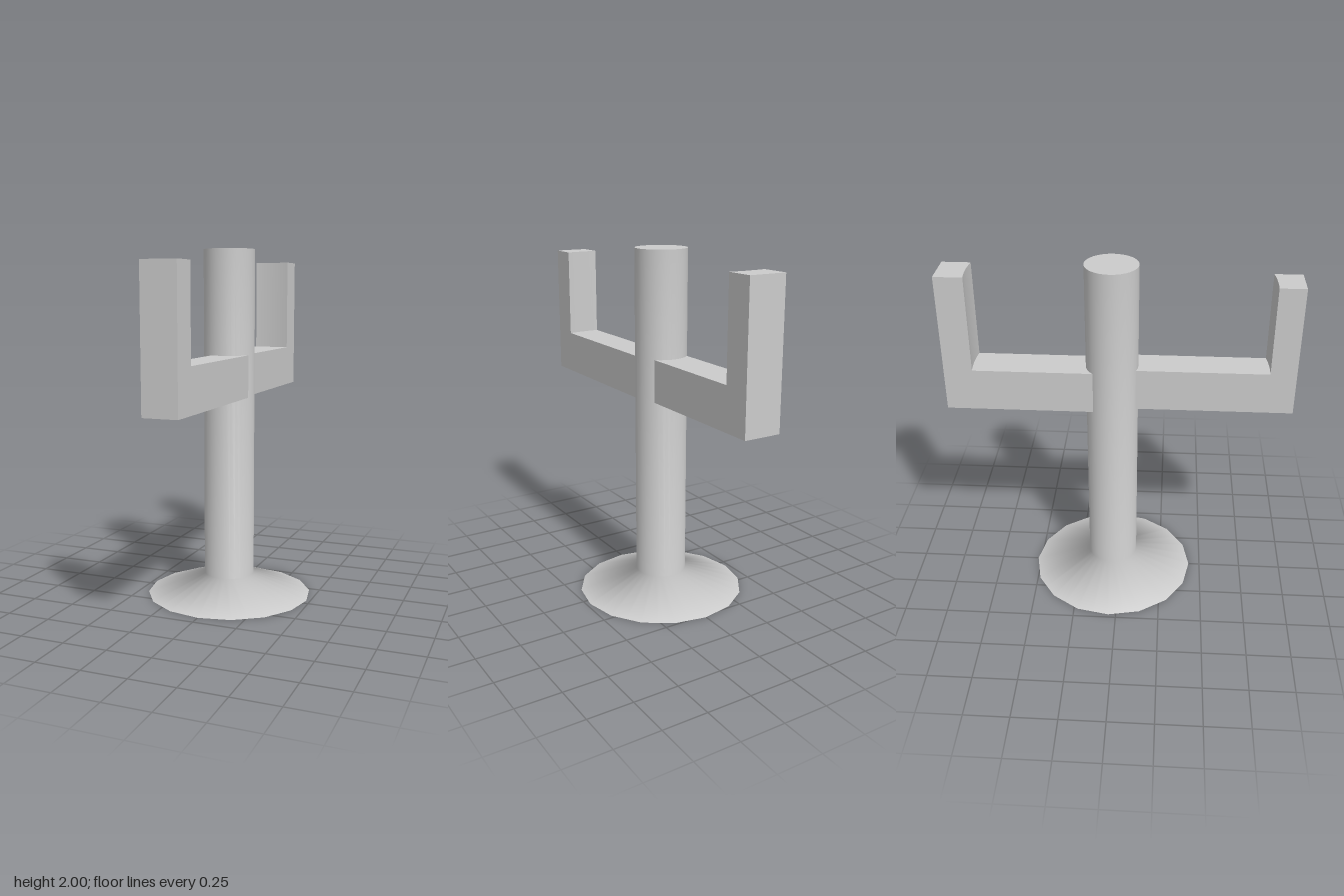
import * as THREE from 'three';

const material = new THREE.MeshStandardMaterial({ color: 0xcccccc });
const RADIUS = 0.145, BASE_RADIUS = 0.478, HEIGHT = 2, FLARE = 0.12;
const SIDES = 32;

function addMesh(parent, name, geometry) {
  const mesh = new THREE.Mesh(geometry, material);
  mesh.name = name;
  parent.add(mesh);
  return mesh;
}

// Smooth trunk flaring into a foot whose rim has half as many sides.
function trunkGeometry() {
  const profile = [[BASE_RADIUS, 0], [RADIUS, FLARE], [RADIUS, HEIGHT]];
  const geo = new THREE.LatheGeometry(profile.map(p => new THREE.Vector2(...p)), SIDES);
  const pos = geo.attributes.position;
  const chord = Math.cos(Math.PI * 2 / SIDES);
  for (let i = 1; i <= SIDES; i += 2) {
    const k = i * profile.length; // rim vertex of every second column
    pos.setX(k, pos.getX(k) * chord);
    pos.setZ(k, pos.getZ(k) * chord);
  }
  return geo;
}

// An arm runs outward from the trunk axis, then turns up. The inner face of
// its upright is an arc around the trunk.
function makeArm(name, { x0, x1, outer, inner, top }) {
  const arm = new THREE.Group();
  arm.name = name;
  const low = 1.17, high = 1.41, start = 0.05;

  const bar = new THREE.BoxGeometry(x1 - x0, high - low, outer - start);
  bar.translate((x0 + x1) / 2, (low + high) / 2, -(outer + start) / 2);
  addMesh(arm, name + 'Bar', bar);

  const shape = new THREE.Shape();
  shape.moveTo(x1, outer);
  shape.lineTo(x0, outer);
  shape.absarc(0, 0, inner, Math.acos(x0 / inner), Math.acos(x1 / inner), true);
  shape.closePath();
  const upright = new THREE.ExtrudeGeometry(shape, {
    depth: top - high, bevelEnabled: false, curveSegments: 6,
  });
  upright.rotateX(-Math.PI / 2);
  upright.translate(0, high, 0);
  addMesh(arm, name + 'Upright', upright);
  return arm;
}

export function createModel() {
  const model = new THREE.Group();
  model.name = 'twoArmedPost';
  model.position.z = -0.045;

  // Trunk with its flat ends
  addMesh(model, 'trunk', trunkGeometry());
  const cap = addMesh(model, 'trunkTop', new THREE.CircleGeometry(RADIUS, SIDES));
  cap.rotation.x = -Math.PI / 2;
  cap.position.y = HEIGHT;
  const underside = addMesh(model, 'footUnderside', new THREE.CircleGeometry(BASE_RADIUS, SIDES / 2));
  underside.rotation.x = Math.PI / 2;

  // Arms
  model.add(makeArm('backArm', { x0: -0.105, x1: 0.105, outer: 0.915, inner: 0.765, top: 1.95 }));
  const front = makeArm('frontArm', { x0: -0.135, x1: 0.056, outer: 1.005, inner: 0.863, top: 1.91 });
  front.rotation.y = Math.PI;
  model.add(front);

  const root = new THREE.Group();
  root.add(model);
  return root;
}
